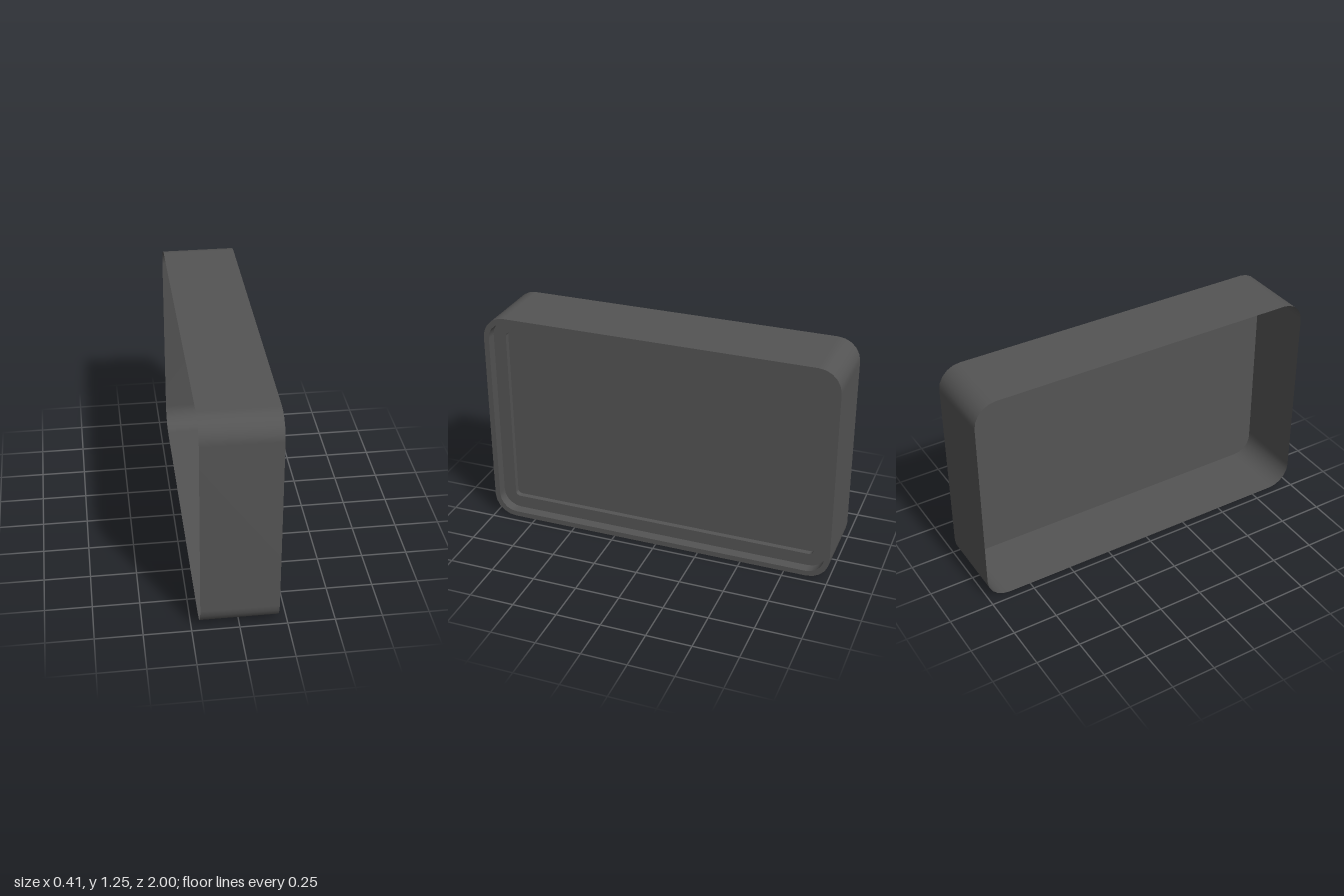
import * as THREE from 'three';

const HEIGHT = 1.25;
const CORNER_STEPS = 5;

// Rounded rectangle in the plane at x, counter-clockwise seen from +x
function ring(x, halfLength, halfHeight, radius) {
  const points = [];
  for (let corner = 0; corner < 4; corner++) {
    const su = corner === 0 || corner === 3 ? 1 : -1;
    const sy = corner < 2 ? 1 : -1;
    for (let i = 0; i <= CORNER_STEPS; i++) {
      const a = (corner + i / CORNER_STEPS) * Math.PI / 2;
      const u = su * (halfLength - radius) + radius * Math.cos(a);
      const y = sy * (halfHeight - radius) + radius * Math.sin(a);
      points.push(new THREE.Vector3(x, HEIGHT / 2 + y, -u));
    }
  }
  return points;
}

// Closed strip joining two rings; a single-point ring gives a flat cap
function band(a, b) {
  const n = a.length;
  const index = [];
  for (let i = 0; i < n; i++) {
    const j = (i + 1) % n;
    if (b.length === 1) index.push(i, j, n);
    else index.push(i, j, n + j, i, n + j, n + i);
  }
  const geometry = new THREE.BufferGeometry().setFromPoints([...a, ...b]);
  geometry.setIndex(index);
  geometry.computeVertexNormals();
  return geometry;
}

export function createModel() {
  const model = new THREE.Group();
  model.name = 'screenHousing';
  const material = new THREE.MeshStandardMaterial({ color: 0x545454, side: THREE.DoubleSide });

  const front = 0.205, ledge = 0.147, screen = 0.117;

  // Cross-section from the open back, round the rim, in to the screen
  const rings = [
    ring(-front, 1, 0.625, 0.125),
    ring(front, 1, 0.625, 0.125),
    ring(front, 0.97, 0.595, 0.1),
    ring(ledge, 0.97, 0.595, 0.1),
    ring(ledge, 0.896, 0.522, 0.025),
    ring(screen, 0.896, 0.522, 0.025),
    [new THREE.Vector3(screen, HEIGHT / 2, 0)],
  ];

  // Each strip is its own part, so edges between them stay sharp
  const names = ['outerShell', 'frontRim', 'rimInnerWall', 'bezel', 'bezelInnerWall', 'screenPanel'];
  names.forEach((name, i) => {
    const mesh = new THREE.Mesh(band(rings[i], rings[i + 1]), material);
    mesh.name = name;
    model.add(mesh);
  });
  return model;
}
